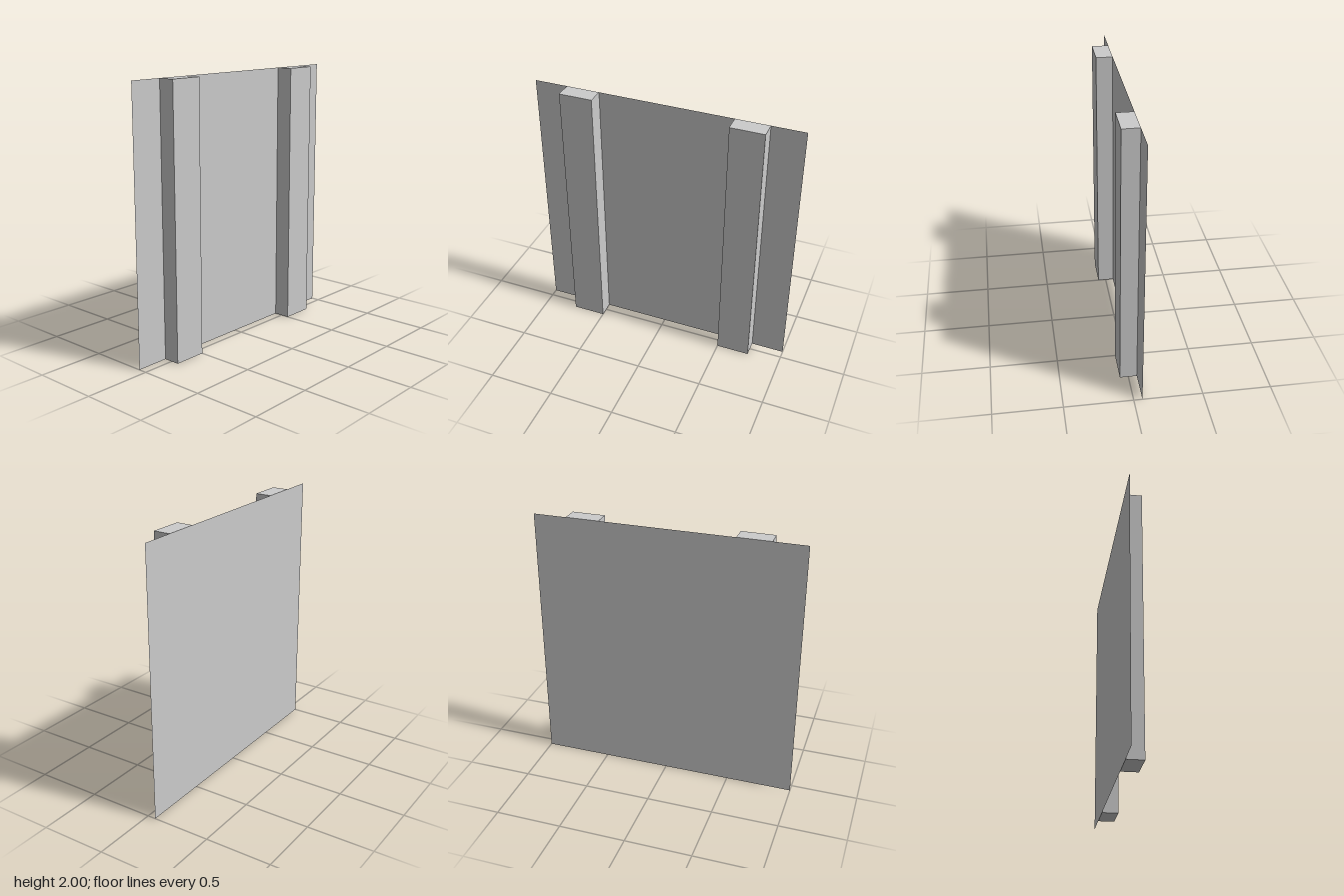
import * as THREE from 'three';

const SIZE = 2, DEPTH = 0.125, POST_WIDTH = 0.25, POST_X = 0.625;

export function createModel() {
  const model = new THREE.Group();
  model.name = 'wallPanel';

  // Thin square sheet at the back, visible from both sides
  const sheet = new THREE.Mesh(
    new THREE.PlaneGeometry(SIZE, SIZE),
    new THREE.MeshStandardMaterial({ color: 0xcccccc, side: THREE.DoubleSide })
  );
  sheet.name = 'backSheet';
  sheet.position.set(0, SIZE / 2, -DEPTH / 2);
  model.add(sheet);

  // Two full-height posts standing against the front of the sheet
  const postGeometry = new THREE.BoxGeometry(POST_WIDTH, SIZE, DEPTH);
  const postMaterial = new THREE.MeshStandardMaterial({ color: 0xcccccc });
  for (const [name, side] of [['leftPost', 1], ['rightPost', -1]]) {
    const post = new THREE.Mesh(postGeometry, postMaterial);
    post.name = name;
    post.position.set(side * POST_X, SIZE / 2, 0);
    model.add(post);
  }

  return model;
}
